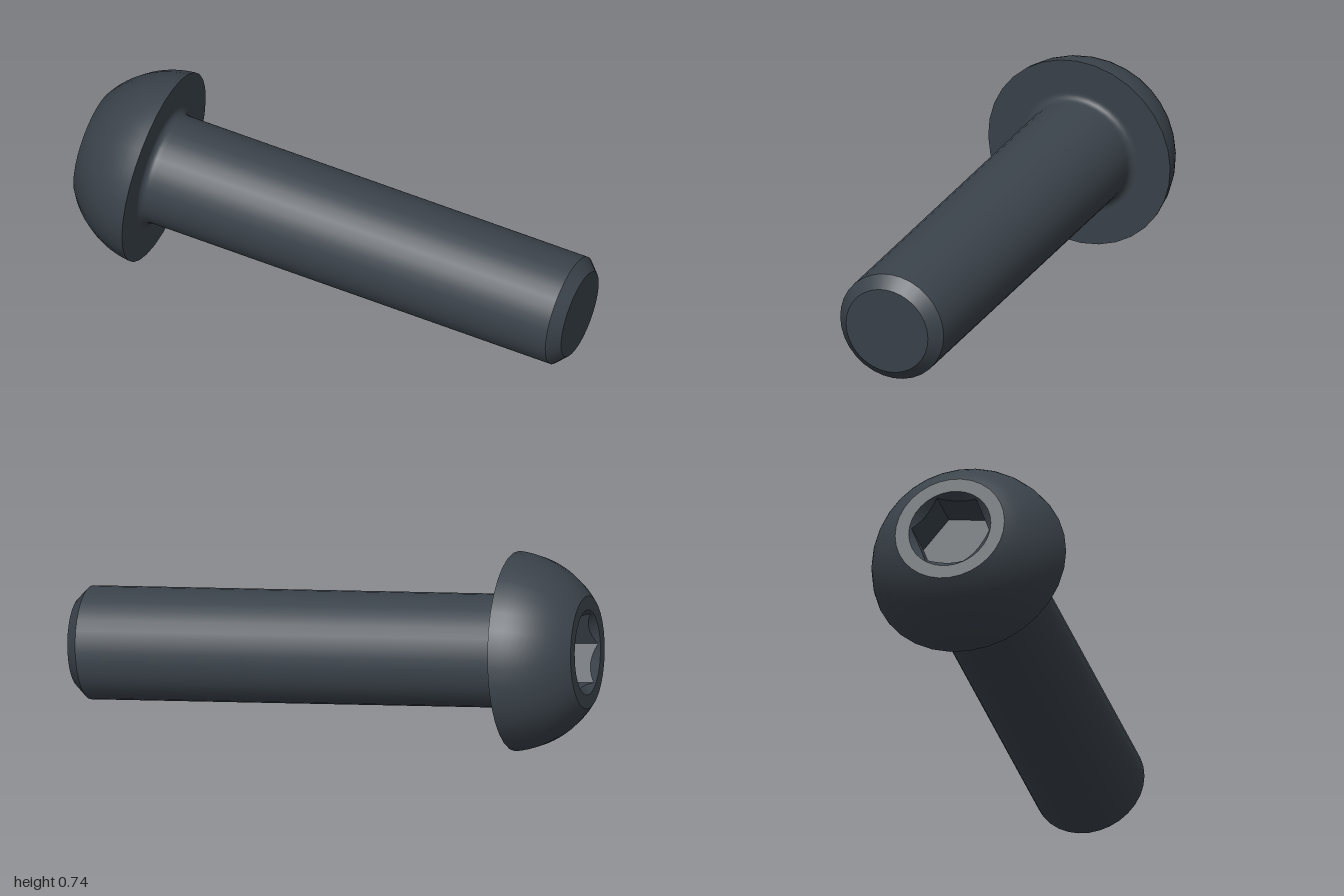
import * as THREE from 'three';

const HEAD_R = 0.371, HEAD_H = 0.272, FLAT_R = 0.21;
const SHAFT_R = 0.211, LENGTH = 1.695, CHAMFER = 0.044, FILLET = 0.028;
const SOCKET_RIM = 0.158, SOCKET_APOTHEM = 0.131, SOCKET_DEPTH = 0.17;
const SIDES = 32;

export function createModel() {
  const steel = new THREE.MeshStandardMaterial({ color: 0x3b434b });
  steel.name = 'dark steel';

  const model = new THREE.Group();
  model.name = 'buttonHeadBolt';
  const bolt = new THREE.Group();
  bolt.name = 'bolt';
  model.add(bolt);

  // Local +y runs from the underside of the head (y = 0) to the tip.
  const add = (name, geometry) => {
    const mesh = new THREE.Mesh(geometry, steel);
    mesh.name = name;
    bolt.add(mesh);
  };
  const lathe = (name, points) =>
    add(name, new THREE.LatheGeometry(points.map(([r, y]) => new THREE.Vector2(r, y)), SIDES));

  // Domed head: a slice of a sphere, with a flat ring around the socket
  const centreY = 0.036, sphereR = Math.hypot(HEAD_R, centreY);
  const a0 = Math.acos(FLAT_R / sphereR), a1 = Math.asin(centreY / sphereR);
  const dome = [];
  for (let i = 0; i <= 12; i++) {
    const a = a0 + (a1 - a0) * i / 12;
    dome.push([sphereR * Math.cos(a), centreY - sphereR * Math.sin(a)]);
  }
  dome[0] = [FLAT_R, -HEAD_H];
  lathe('headDome', dome);
  lathe('headFlatRing', [[SOCKET_RIM, -HEAD_H], [FLAT_R, -HEAD_H]]);

  // Flat underside, then a fillet running smoothly into the shaft
  lathe('headUnderside', [[HEAD_R, 0], [SHAFT_R + FILLET, 0]]);
  const shaft = [];
  for (let i = 0; i <= 6; i++) {
    const a = i / 6 * Math.PI / 2;
    shaft.push([SHAFT_R + FILLET * (1 - Math.sin(a)), FILLET * (1 - Math.cos(a))]);
  }
  shaft.push([SHAFT_R, FILLET + 0.01], [SHAFT_R, LENGTH - CHAMFER]);
  lathe('shaft', shaft);

  // Chamfered tip
  lathe('tipChamfer', [[SHAFT_R, LENGTH - CHAMFER], [SHAFT_R - CHAMFER, LENGTH]]);
  lathe('tipFace', [[SHAFT_R - CHAMFER, LENGTH], [0, LENGTH]]);

  // Hexagonal socket: a lathe whose inner rows are pulled onto a hexagon,
  // with a conical lead-in from the round rim
  const floorY = -HEAD_H + SOCKET_DEPTH;
  let socket = new THREE.LatheGeometry([
    new THREE.Vector2(0, floorY), new THREE.Vector2(1, floorY),
    new THREE.Vector2(1, -HEAD_H), new THREE.Vector2(SOCKET_RIM, -HEAD_H),
  ], 48);
  const p = socket.attributes.position;
  for (let i = 0; i < p.count; i++) {
    const row = i % 4;
    if (row !== 1 && row !== 2) continue;
    const theta = Math.floor(i / 4) / 48 * Math.PI * 2;
    const r = SOCKET_APOTHEM / Math.cos(theta % (Math.PI / 3) - Math.PI / 6);
    const y = row === 1 ? floorY : -HEAD_H + (SOCKET_RIM - r);
    p.setXYZ(i, r * Math.sin(theta), y, r * Math.cos(theta));
  }
  socket = socket.toNonIndexed();
  socket.computeVertexNormals();
  socket.rotateY(THREE.MathUtils.degToRad(10));
  add('hexSocket', socket);

  // Lay the bolt down so the head rim and the tip both touch the ground
  const axis = new THREE.Vector3(0.9735, -0.095, 0.209).normalize();
  const side = new THREE.Vector3(0, 0, 1).addScaledVector(axis, -axis.z).normalize();
  const down = new THREE.Vector3().crossVectors(axis, side);
  bolt.quaternion.setFromRotationMatrix(new THREE.Matrix4().makeBasis(down, axis, side));
  bolt.position.set(-0.688, 0.37, -0.0925);
  return model;
}
